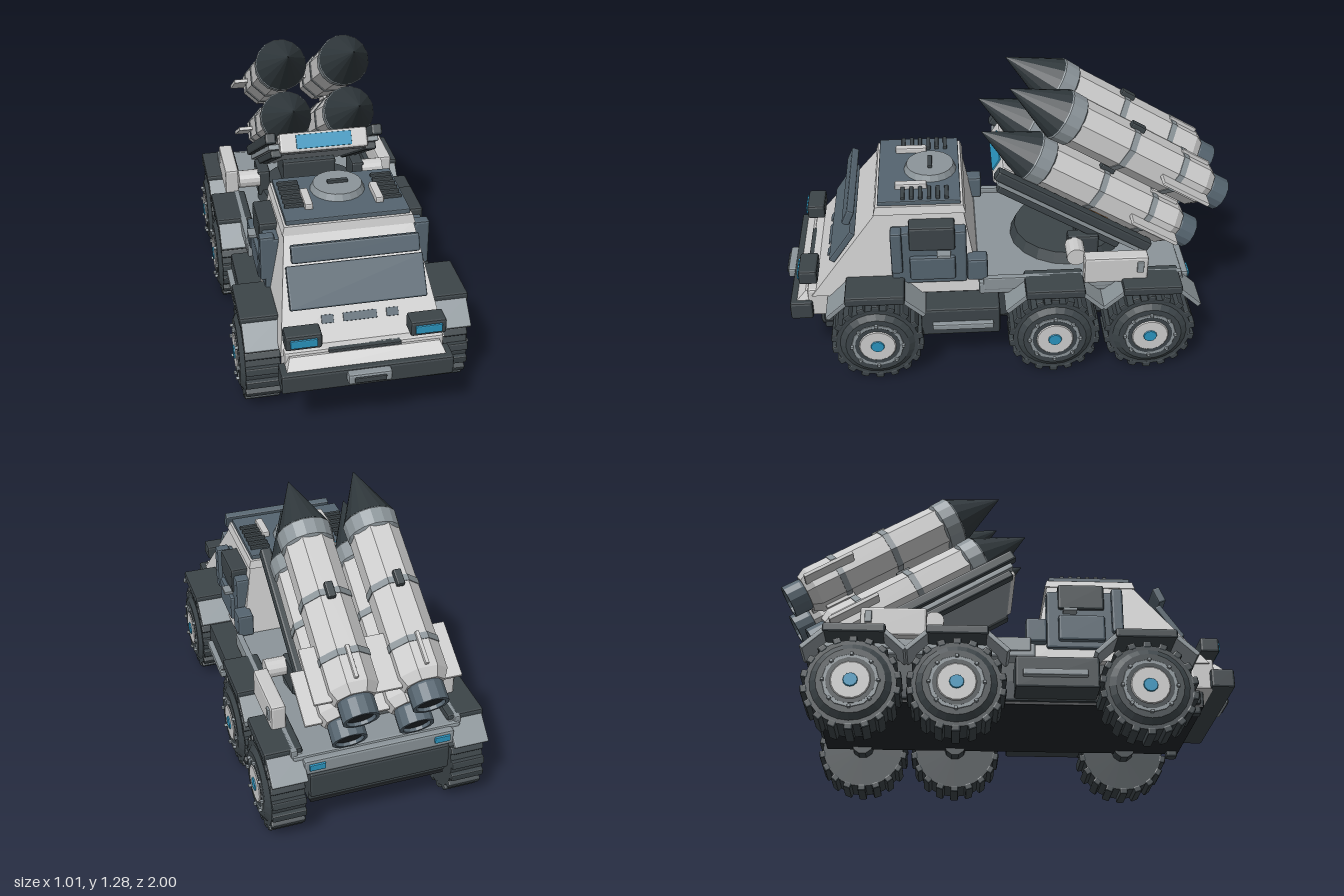
import * as THREE from 'three';
import { RoundedBoxGeometry } from 'three/addons/geometries/RoundedBoxGeometry.js';

const mat = (color) => new THREE.MeshStandardMaterial({ color, flatShading: true });
const M = {
  light: mat(0xbfbebc), mid: mat(0x8b9499), steel: mat(0x55646f), dark: mat(0x3c4448),
  cone: mat(0x2f373b), under: mat(0x22262a), blue: mat(0x2a93bd), orange: mat(0xc8752a),
};

function add(parent, name, geo, material, x = 0, y = 0, z = 0, rx = 0) {
  const m = new THREE.Mesh(geo, material);
  m.name = name;
  m.position.set(x, y, z);
  m.rotation.x = rx;
  parent.add(m);
  return m;
}

// box with chamfered edges
const box = (p, name, material, w, h, d, x, y, z, rx = 0) =>
  add(p, name, new RoundedBoxGeometry(w, h, d, 1, Math.min(0.01, 0.22 * Math.min(w, h, d))), material, x, y, z, rx);

// box given by its extents
const span = (p, name, material, x0, x1, y0, y1, z0, z1) =>
  box(p, name, material, Math.abs(x1 - x0), y1 - y0, z1 - z0, (x0 + x1) / 2, (y0 + y1) / 2, (z0 + z1) / 2);

// the same part on both sides
const both = (fn) => [1, -1].forEach(fn);

// tapered block: half-width and z range at the bottom and at the top
function taper(y0, y1, hw0, back0, front0, hw1, back1, front1) {
  const g = new THREE.BoxGeometry(2, 2, 2);
  const p = g.attributes.position;
  for (let i = 0; i < p.count; i++) {
    const top = p.getY(i) > 0, front = p.getZ(i) > 0;
    p.setXYZ(i, p.getX(i) * (top ? hw1 : hw0), top ? y1 : y0,
      top ? (front ? front1 : back1) : (front ? front0 : back0));
  }
  g.computeVertexNormals();
  return g;
}

// wheel around the x axis, outer face towards +x
function makeWheel() {
  const g = new THREE.Group();
  g.name = 'wheel';
  const disc = (name, material, r0, r1, len, x, sides = 18) =>
    add(g, name, new THREE.CylinderGeometry(r1, r0, len, sides), material, x).rotation.z = -Math.PI / 2;
  disc('tire', M.dark, 0.185, 0.185, 0.146, 0, 24);
  disc('sidewall', M.dark, 0.17, 0.14, 0.02, 0.08, 24);
  disc('rim', M.mid, 0.125, 0.115, 0.012, 0.086, 12);
  disc('rimRecess', M.dark, 0.1, 0.1, 0.006, 0.09);
  disc('hubPlate', M.light, 0.088, 0.078, 0.01, 0.092);
  disc('hubCap', M.blue, 0.032, 0.028, 0.008, 0.098, 12);
  for (let i = 0; i < 18; i++) {
    const a = (i / 18) * Math.PI * 2;
    box(g, 'treadLug', M.dark, 0.15, 0.03, 0.036, 0, Math.cos(a) * 0.19, Math.sin(a) * 0.19, a);
  }
  for (let i = 0; i < 8; i++) {
    const a = (i / 8) * Math.PI * 2;
    box(g, 'wheelBolt', M.mid, 0.02, 0.014, 0.014, 0.094, Math.cos(a) * 0.113, Math.sin(a) * 0.113, a);
  }
  return g;
}

// missile along +z with its tail near z = 0
function makeMissile() {
  const g = new THREE.Group();
  g.name = 'missile';
  const turn = (name, material, pts, sides) => {
    const geo = new THREE.LatheGeometry(pts.map(([r, y]) => new THREE.Vector2(r, y)), sides, Math.PI / sides);
    add(g, name, geo, material, 0, 0, 0, Math.PI / 2);
  };
  turn('noseCone', M.cone, [[0, 0.815], [0.113, 0.815], [0, 1.06]], 16);
  turn('collar', M.mid, [[0.1, 0.73], [0.113, 0.74], [0.116, 0.81], [0.108, 0.82], [0, 0.82]], 16);
  turn('body', M.light, [[0, 0.05], [0.085, 0.05], [0.108, 0.09], [0.108, 0.74], [0, 0.74]], 8);
  turn('nozzle', M.steel, [[0.058, 0], [0.06, -0.035], [0.075, -0.035], [0.075, 0.04], [0.065, 0.07]], 14);
  turn('nozzleCore', M.under, [[0, -0.02], [0.062, -0.02]], 14);
  for (const z of [0.22, 0.48])
    turn('bodyBand', M.mid, [[0.1, z - 0.014], [0.112, z - 0.014], [0.112, z + 0.014], [0.1, z + 0.014]], 8);
  both((s) => {
    box(g, 'sideFin', M.light, 0.075, 0.018, 0.24, s * 0.127, 0, 0.18);
    box(g, 'uprightFin', M.light, 0.016, 0.024, 0.14, 0, s * 0.104, 0.17);
  });
  box(g, 'topClip', M.dark, 0.035, 0.028, 0.07, 0, 0.11, 0.48);
  return g;
}

function makeLauncher() {
  const g = new THREE.Group();
  g.name = 'launcher';
  g.position.set(0, 0.535, -0.813);
  g.rotation.x = -0.54;
  for (const y of [0, 0.236]) both((s) => {
    const m = makeMissile();
    m.position.set(s * 0.145, y, 0);
    g.add(m);
  });
  span(g, 'cradleBed', M.mid, -0.2, 0.2, -0.175, -0.115, 0.1, 0.88);
  span(g, 'cradleHead', M.light, -0.2, 0.2, -0.17, -0.08, 0.84, 0.905);
  span(g, 'headPanel', M.blue, -0.125, 0.125, -0.155, -0.092, 0.9, 0.912);
  both((s) => {
    span(g, 'sideRail', M.dark, s * 0.215, s * 0.265, -0.125, -0.075, 0.13, 0.93);
    span(g, 'lowerRail', M.mid, s * 0.2, s * 0.25, -0.15, -0.125, 0.16, 0.9);
    span(g, 'railSkid', M.dark, s * 0.19, s * 0.24, -0.185, -0.15, 0.25, 0.88);
    span(g, 'railLamp', M.orange, s * 0.208, s * 0.216, -0.1, -0.08, 0.36, 0.46);
  });
  return g;
}

function makeCab() {
  const g = new THREE.Group();
  g.name = 'cab';
  add(g, 'cabShell', taper(0.375, 0.76, 0.34, 0.11, 0.86, 0.272, 0.18, 0.56), M.light);
  add(g, 'roofRim', taper(0.755, 0.79, 0.28, 0.17, 0.57, 0.27, 0.18, 0.56), M.light);
  span(g, 'roofPlate', M.steel, -0.262, 0.262, 0.79, 0.812, 0.19, 0.55);
  add(g, 'roofHatch', new THREE.CylinderGeometry(0.105, 0.118, 0.03, 20), M.mid, 0, 0.825, 0.32);
  span(g, 'hatchHandle', M.dark, -0.045, 0.045, 0.84, 0.855, 0.31, 0.33);
  both((s) => {
    for (let i = 0; i < 6; i++)
      box(g, 'roofLouvre', M.dark, 0.09, 0.018, 0.018, s * 0.205, 0.817, 0.25 + i * 0.038);
    box(g, 'roofVent', M.light, 0.035, 0.03, 0.14, s * 0.15, 0.822, 0.405);
  });
  // windscreen and sun visor stand off the sloping front
  box(g, 'windscreen', M.steel, 0.57, 0.18, 0.03, 0, 0.595, 0.715, -0.6);
  box(g, 'visor', M.steel, 0.53, 0.075, 0.035, 0, 0.735, 0.68, -0.4);
  for (const [x, w] of [[-0.135, 0.05], [0, 0.14], [0.135, 0.05]])
    box(g, 'noseSlot', M.steel, w, 0.035, 0.012, x, 0.475, 0.782, -0.65);
  both((s) => {
    span(g, 'door', M.steel, s * 0.28, s * 0.345, 0.43, 0.7, 0.17, 0.5);
    span(g, 'doorPocket', M.steel, s * 0.3, s * 0.365, 0.46, 0.58, 0.22, 0.42);
    span(g, 'doorWindow', M.dark, s * 0.27, s * 0.355, 0.61, 0.73, 0.22, 0.42);
    span(g, 'doorPost', M.steel, s * 0.3, s * 0.365, 0.5, 0.71, 0.45, 0.5);
    span(g, 'doorHandle', M.mid, s * 0.34, s * 0.385, 0.59, 0.605, 0.24, 0.3);
    span(g, 'rearLocker', M.steel, s * 0.29, s * 0.365, 0.45, 0.56, 0.08, 0.17);
    span(g, 'headlightCase', M.dark, s * 0.18, s * 0.33, 0.433, 0.5, 0.83, 0.912);
    span(g, 'headlight', M.blue, s * 0.2, s * 0.31, 0.448, 0.485, 0.9, 0.92);
  });
  return g;
}

function makeChassis() {
  const g = new THREE.Group();
  g.name = 'chassis';
  span(g, 'hull', M.dark, -0.31, 0.31, 0.2, 0.375, -0.8, 0.82);
  span(g, 'bellyPlate', M.under, -0.3, 0.3, 0.187, 0.203, -0.8, 0.83);
  span(g, 'cargoBed', M.mid, -0.37, 0.37, 0.375, 0.44, -0.79, 0.12);
  both((s) => span(g, 'bedEdge', M.mid, s * 0.345, s * 0.375, 0.4, 0.465, -0.78, 0.1));
  // front end
  span(g, 'nose', M.light, -0.33, 0.33, 0.26, 0.4, 0.78, 0.88);
  span(g, 'frontBumper', M.dark, -0.355, 0.355, 0.26, 0.345, 0.86, 0.96);
  add(g, 'bumperTop', taper(0.34, 0.385, 0.33, 0.85, 0.935, 0.31, 0.85, 0.89), M.light);
  span(g, 'frontGrille', M.dark, -0.15, 0.15, 0.385, 0.4, 0.86, 0.89);
  span(g, 'frontPlate', M.mid, -0.09, 0.09, 0.293, 0.34, 0.95, 0.992);
  span(g, 'plateInset', M.dark, -0.065, 0.065, 0.305, 0.328, 0.985, 1);
  span(g, 'lowerBumper', M.dark, -0.3, 0.3, 0.19, 0.265, 0.78, 0.835);
  // rear end
  span(g, 'rearBumper', M.dark, -0.31, 0.31, 0.24, 0.36, -0.83, -0.78);
  span(g, 'tailboard', M.mid, -0.33, 0.33, 0.36, 0.43, -0.82, -0.77);
  both((s) => {
    span(g, 'towFoot', M.dark, s * 0.25, s * 0.3, 0.16, 0.2, 0.77, 0.82);
    span(g, 'tailLamp', M.blue, s * 0.24, s * 0.31, 0.385, 0.415, -0.83, -0.81);
    span(g, 'sideTank', M.dark, s * 0.3, s * 0.44, 0.21, 0.35, 0.03, 0.38);
    span(g, 'sideStep', M.mid, s * 0.4, s * 0.465, 0.255, 0.285, 0.06, 0.33);
    span(g, 'bedLocker', M.light, s * 0.345, s * 0.41, 0.445, 0.575, -0.62, -0.34);
    span(g, 'lockerLatch', M.mid, s * 0.4, s * 0.42, 0.5, 0.555, -0.6, -0.57);
  });
  return g;
}

export function createModel() {
  const model = new THREE.Group();
  model.name = 'missileTruck';
  model.add(makeChassis(), makeCab(), makeLauncher());

  // turntable and lifting mount
  add(model, 'turntable', new THREE.CylinderGeometry(0.24, 0.26, 0.05, 20), M.dark, 0, 0.465, -0.3);
  span(model, 'mountBlock', M.dark, -0.13, 0.13, 0.48, 0.6, -0.52, -0.33);
  both((s) => {
    add(model, 'pivotKnob', new THREE.CylinderGeometry(0.042, 0.042, 0.1, 14), M.light, s * 0.3, 0.545, -0.31)
      .rotation.z = Math.PI / 2;
    span(model, 'pivotBracket', M.dark, s * 0.2, s * 0.26, 0.46, 0.59, -0.42, -0.28);
  });

  // wheels with slab fenders and sloping flaps fore and aft
  for (const z of [0.575, -0.21, -0.636]) both((s) => {
    const w = makeWheel();
    w.position.set(s * 0.4, 0.205, z);
    w.rotation.y = s > 0 ? 0 : Math.PI;
    model.add(w);
    add(model, 'axle', new THREE.CylinderGeometry(0.05, 0.05, 0.1, 10), M.dark, s * 0.31, 0.205, z)
      .rotation.z = Math.PI / 2;
    span(model, 'fender', M.dark, s * 0.32, s * 0.485, 0.422, 0.465, z - 0.13, z + 0.13);
    both((d) => box(model, 'fenderFlap', M.mid, 0.155, 0.022, 0.125, s * 0.4, 0.395, z + d * 0.167, d * 0.75));
  });
  return model;
}
